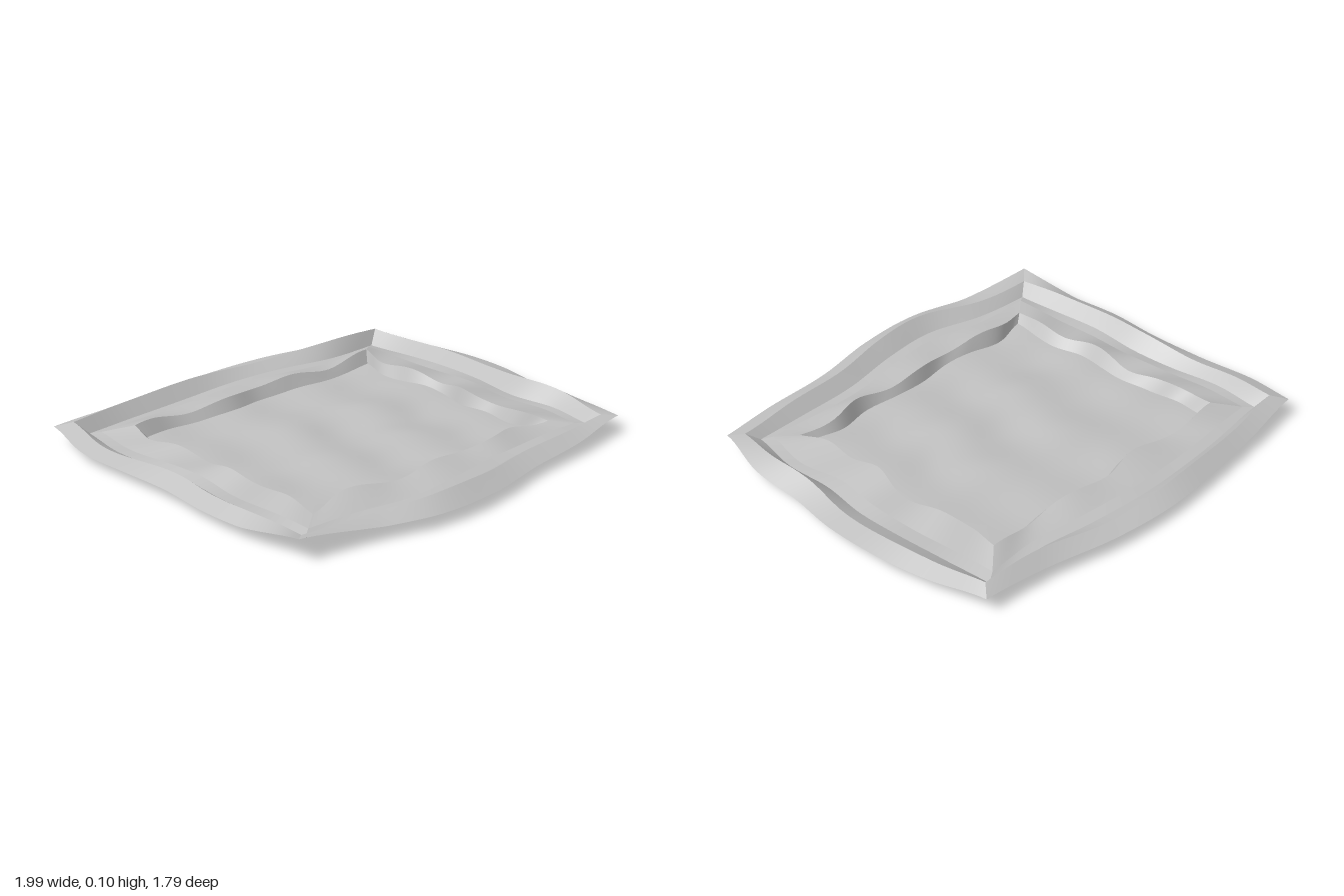
import * as THREE from 'three';

const N = 48; // segments along each side
const TAU = Math.PI * 2;

// Plan of each nested ring. back/front hold z from -x to +x, left/right hold x from -z to +z.
const rim = {
  back: [-0.8, -0.845, -0.88, -0.9, -0.875, -0.81, -0.78],
  right: [0.89, 0.95, 0.99, 0.995, 0.96, 0.95, 0.89],
  front: [0.75, 0.8, 0.88, 0.875, 0.815, 0.785, 0.73],
  left: [-0.95, -0.995, -0.98, -0.97, -0.985, -0.965, -0.94],
};
const ridge = {
  back: [-0.74, -0.785, -0.81, -0.82, -0.8, -0.745, -0.73],
  right: [0.845, 0.885, 0.91, 0.91, 0.88, 0.875, 0.835],
  front: [0.695, 0.725, 0.8, 0.79, 0.735, 0.715, 0.68],
  left: [-0.89, -0.925, -0.905, -0.9, -0.915, -0.9, -0.88],
};
const fold = {
  back: [-0.67, -0.685, -0.7, -0.705, -0.68, -0.645, -0.665],
  right: [0.74, 0.75, 0.765, 0.77, 0.745, 0.775, 0.74],
  front: [0.62, 0.63, 0.68, 0.66, 0.62, 0.61, 0.615],
  left: [-0.8, -0.815, -0.79, -0.775, -0.79, -0.78, -0.78],
};
const innerRidge = {
  back: [-0.575, -0.59, -0.575, -0.56, -0.59, -0.58, -0.56, -0.575, -0.585],
  right: [0.65, 0.615, 0.63, 0.65, 0.645, 0.61, 0.625, 0.62, 0.66],
  front: [0.545, 0.505, 0.53, 0.54, 0.52, 0.515, 0.535, 0.505, 0.535],
  left: [-0.695, -0.715, -0.685, -0.67, -0.685, -0.69, -0.67, -0.675, -0.69],
};
const SIDES = ['back', 'right', 'front', 'left'];

const wave = (s, count, phase) => Math.sin((TAU * count * s) / 4 + phase);

// Four smooth side lines running clockwise; height(s) takes s = 0..4 round the loop.
function makeRing(plan, height) {
  return SIDES.map((side, i) => {
    const alongX = i % 2 === 0;
    const [from, to] = alongX ? [plan.left, plan.right] : [plan.back, plan.front];
    const pick = (a) => (side === 'back' || side === 'left' ? a[0] : a[a.length - 1]);
    const [a, b] = [pick(from), pick(to)];
    const curve = new THREE.SplineCurve(plan[side].map((v, k) => new THREE.Vector2(k, v)));
    const points = [];
    for (let j = 0; j <= N; j++) {
      const t = i < 2 ? j / N : 1 - j / N;
      const across = curve.getPoint(t).y;
      const along = a + (b - a) * t;
      const y = height((i + j / N) % 4);
      points.push(alongX ? new THREE.Vector3(along, y, across) : new THREE.Vector3(across, y, along));
    }
    return points;
  });
}

// Blend two rings, then set a new height
const between = (A, B, f, height) => A.map((line, i) => line.map((p, j) => {
  const q = p.clone().lerp(B[i][j], f);
  q.y = height((i + j / N) % 4);
  return q;
}));

// Sheet spanning a list of equally long rows of points
function sheet(rows) {
  const w = rows[0].length;
  const index = [];
  for (let r = 0; r < rows.length - 1; r++) {
    for (let c = 0; c < w - 1; c++) {
      const a = r * w + c;
      const b = a + w;
      index.push(a, b, a + 1, a + 1, b, b + 1);
    }
  }
  const geometry = new THREE.BufferGeometry().setFromPoints(rows.flat());
  geometry.setIndex(index);
  geometry.computeVertexNormals();
  return geometry;
}

// Centre panel blended from its four wavy edges, gently rippled
function panelRows([back, right, front, left]) {
  const rows = [];
  for (let r = 0; r <= N; r++) {
    const v = r / N;
    const L = left[N - r];
    const R = right[r];
    const row = [];
    for (let c = 0; c <= N; c++) {
      const u = c / N;
      const B = back[c];
      const F = front[N - c];
      const mix = (k) => B[k] * (1 - v) + F[k] * v + L[k] * (1 - u) + R[k] * u
        - (1 - v) * (back[0][k] * (1 - u) + back[N][k] * u)
        - v * (front[N][k] * (1 - u) + front[0][k] * u);
      const fade = Math.sin(Math.PI * u) * Math.sin(Math.PI * v);
      const ripple = 0.005 * fade * (Math.sin(u * 17 + v * 4) + Math.sin(v * 15 - u * 5));
      row.push(new THREE.Vector3(mix('x'), mix('y') + 0.006 * fade + ripple, mix('z')));
    }
    rows.push(row);
  }
  return rows;
}

export function createModel() {
  const group = new THREE.Group();
  group.name = 'wavyTray';
  const cloth = new THREE.MeshStandardMaterial({ color: 0xc0c0c0, side: THREE.DoubleSide });
  cloth.name = 'light grey cloth';

  // Rings from the outside in
  const corner = (s) => Math.abs(Math.cos((Math.PI * s))) ** 10;
  const frontLeft = (s) => Math.max(0, 1 - Math.abs(s - 3) * 5);
  const outer = makeRing(rim, (s) => 0.043 + 0.02 * corner(s) + 0.035 * frontLeft(s) + 0.004 * wave(s, 6, 1));
  const crest = makeRing(ridge, (s) => 0.08 + 0.01 * wave(s, 5, 0.3) + 0.006 * wave(s, 9, 2));
  const crease = makeRing(fold, (s) => 0.036 + 0.004 * wave(s, 8, 1));
  const valley = between(crest, crease, 0.55, (s) => 0.03 + 0.004 * wave(s, 6, 2));
  const lip = makeRing(innerRidge, (s) => 0.058 + 0.011 * wave(s, 13, 0.5) + 0.006 * wave(s, 7, 2));
  const inset = (list, d) => list.map((v) => v + d);
  const edge = makeRing({
    back: inset(innerRidge.back, 0.032),
    right: inset(innerRidge.right, -0.022),
    front: inset(innerRidge.front, -0.024),
    left: inset(innerRidge.left, 0.036),
  }, (s) => 0.009 + 0.005 * wave(s, 12, 1));

  // Separate bands keep the creases and mitred corners sharp
  const rings = [outer, crest, valley, crease, lip, edge];
  const names = ['outerHem', 'outerSlope', 'valleyBand', 'innerSlope', 'panelWall'];
  names.forEach((name, k) => {
    const band = new THREE.Group();
    band.name = name;
    SIDES.forEach((side, i) => {
      const mesh = new THREE.Mesh(sheet([rings[k][i], rings[k + 1][i]]), cloth);
      mesh.name = `${name} ${side}`;
      band.add(mesh);
    });
    group.add(band);
  });

  const panel = new THREE.Mesh(sheet(panelRows(edge)), cloth);
  panel.name = 'centrePanel';
  group.add(panel);

  // Stand on the ground
  group.position.y = -new THREE.Box3().setFromObject(group).min.y;
  return group;
}
